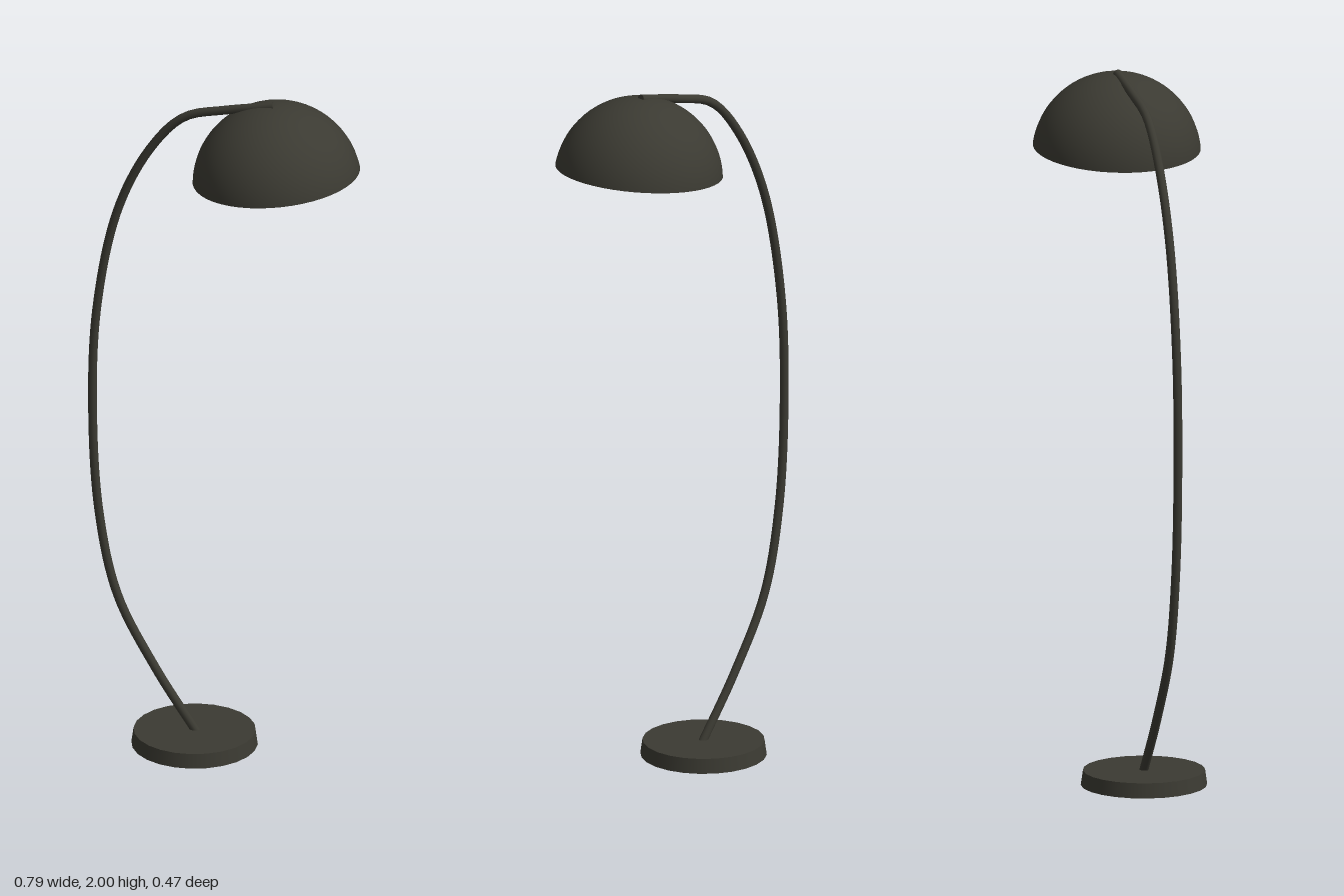
import * as THREE from 'three';

export function createModel() {
  const group = new THREE.Group();
  const metal = new THREE.MeshStandardMaterial({ name: 'dark metal', color: 0x3b3a32 });
  const shell = new THREE.MeshStandardMaterial({ name: 'dark shade', color: 0x3b3a32, side: THREE.DoubleSide });
  const glass = new THREE.MeshStandardMaterial({ name: 'warm bulb glass', color: 0xe6d6c6 });

  const add = (name, geometry, material, parent = group) => {
    const mesh = new THREE.Mesh(geometry, material);
    mesh.name = name;
    parent.add(mesh);
    return mesh;
  };

  // Weighted foot, slightly tapered
  add('base', new THREE.CylinderGeometry(0.171, 0.177, 0.042, 24), metal).position.set(-0.083, 0.021, 0);

  // Bowed stem, sweeping from the foot to the crown of the shade
  const path = new THREE.CatmullRomCurve3([
    [-0.075, 0.03], [-0.2, 0.215], [-0.31, 0.42], [-0.364, 0.66], [-0.384, 0.97],
    [-0.372, 1.29], [-0.31, 1.603], [-0.214, 1.805], [-0.114, 1.916], [0.008, 1.955], [0.152, 1.987],
  ].map(([x, y]) => new THREE.Vector3(x, y, 0)));
  add('stem', new THREE.TubeGeometry(path, 80, 0.0125, 12), metal);

  // Flat cap closing the stem tip
  const cap = add('stemCap', new THREE.CircleGeometry(0.0125, 12), metal);
  cap.position.copy(path.getPoint(1));
  cap.quaternion.setFromUnitVectors(new THREE.Vector3(0, 0, 1), path.getTangent(1));

  // Tilted lamp head, with its origin at the centre of the rim
  const head = new THREE.Group();
  head.name = 'lampHead';
  head.position.set(0.158, 1.777, 0);
  head.rotation.z = 0.096;
  group.add(head);

  // Thin domed shade, a cap a little short of a hemisphere
  const rim = 0.235, height = 0.21;
  const radius = (rim * rim + height * height) / (2 * height);
  const angle = Math.acos((radius - height) / radius);
  add('shade', new THREE.SphereGeometry(radius, 48, 20, 0, Math.PI * 2, 0, angle), shell, head)
    .position.y = height - radius;

  // Round bulb inside the shade
  add('bulb', new THREE.SphereGeometry(0.056, 24, 16), glass, head).position.y = 0.071;

  return group;
}
